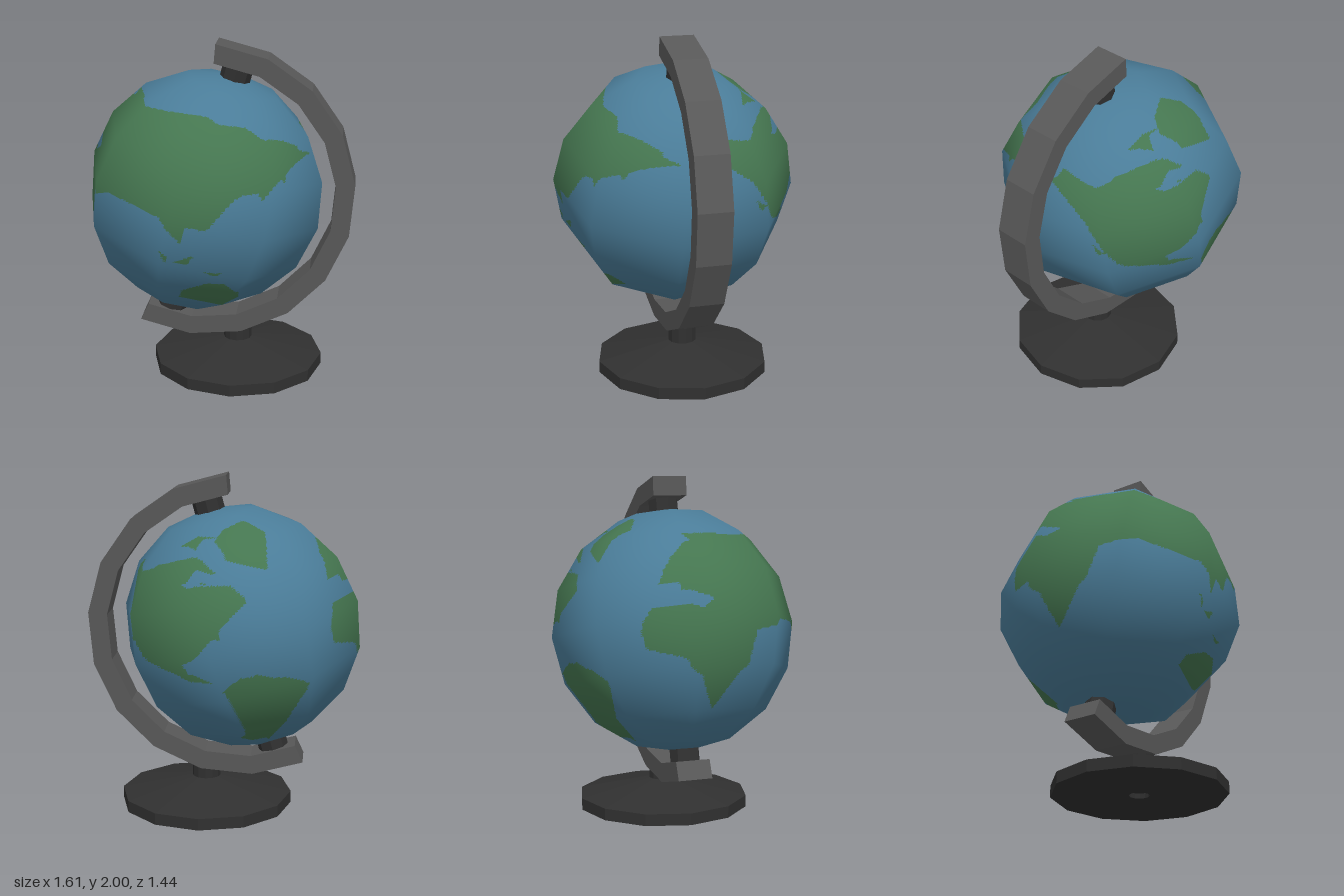
import * as THREE from 'three';

const RAD = Math.PI / 180;
const CENTRE = [-0.085, 1.105, 0];
const R = 0.72;
const SWING = 12.5 * RAD; // turn of the whole stand about the vertical
const TILT = 15 * RAD; // lean of the globe axis

const mat = (name, color) => {
  const m = new THREE.MeshStandardMaterial({ color });
  m.name = name;
  return m;
};

const add = (parent, name, geometry, material) => {
  const mesh = new THREE.Mesh(geometry, material);
  mesh.name = name;
  parent.add(mesh);
  return mesh;
};

// Gives every side its own flat normal
const faceted = (geometry) => {
  const g = geometry.toNonIndexed();
  g.computeVertexNormals();
  return g;
};

// Coastlines drawn flat along one direction: x, y pairs in hundredths from the globe centre
const coasts = [];
function drawCoasts(azimuth, elevation, minFacing, ...outlines) {
  const a = azimuth * RAD, e = elevation * RAD;
  coasts.push({
    toward: new THREE.Vector3(Math.sin(a) * Math.cos(e), Math.sin(e), Math.cos(a) * Math.cos(e)),
    right: new THREE.Vector3(Math.cos(a), 0, -Math.sin(a)),
    up: new THREE.Vector3(-Math.sin(e) * Math.sin(a), Math.cos(e), -Math.sin(e) * Math.cos(a)),
    minFacing,
    outlines,
  });
}

// Great eastern continent and the southern islands
drawCoasts(0, 0, 0.12,
  [-31, 58, 1, 56, 36, 49, 64, 31, 50, 12, 46, 20, 36, 13, 23, -3, 12, -1, 9, -11, -2, 4, -17, 7, -38, 11,
    -53, 7, -58, -16, -58, -36, -80, 10, -58, 27, -60, 45],
  [1, -51, 4, -45, 19, -39, 28, -39, 34, -47, 31, -54, 22, -57],
  [4, -23, 15, -19, 11, -25],
  [-3, -15, 1, -19, 0, -23],
  [19, -30, 28, -31, 25, -33]);
// Far eastern tip
drawCoasts(90, 0, 0.12,
  [-51, 49, -41, 50, -37, 42, 2, 28, -25, 24, -30, 18, -34, 23, -44, 17, -59, 14, -64, -3, -75, 20]);
// Arctic coasts and islands
drawCoasts(0, 90, 0.5,
  [-29, 46, -6, 49, 3, 41, 1, 33, -10, 24, -22, 27],
  [-18, 58, -2, 69, 5, 60],
  [-3, 55, 19, 58, 43, 43, 28, 48],
  [2, 38, 10, 40, 12, 47, 18, 42, 24, 39],
  [-59, 19, -47, 4, -34, -15, -23, -39, 22, -41, 48, -32, 60, -6, 58, -28, 40, -57, 0, -69, -45, -54, -70, 0]);
// Western continents, far side
drawCoasts(145, -25, 0.2,
  [-39, 49, -32, 56, 1, 61, 27, 51, 42, 39, 46, 27, 37, 33, 22, 23, 27, 11, 43, 5, 27, 6, -2, 20, -19, 41],
  [48, 2, 56, 1, 68, -17, 52, -38, 34, -53, 48, -30, 47, -6]);
// Both shores of the western ocean
drawCoasts(215, 25, 0.12,
  [-66, 16, -55, 31, -39, 29, -50, 20, -47, 12, -23, 9, -16, -1, -33, -15, -44, -27, -50, -28, -69, -7],
  [-30, -46, -20, -40, 5, -42, 19, -46, 11, -62, 2, -71, -11, -69],
  [35, -16, 38, -2, 59, 7, 73, -20, 65, -35, 56, -22, 38, -24],
  [32, 44, 35, 53, 49, 51, 62, 39, 69, 18, 49, 12, 41, 20, 52, 34],
  [35, 28, 38, 32, 40, 25]);

function inside(o, x, y) {
  let hit = false;
  for (let i = 0, j = o.length - 2; i < o.length; j = i, i += 2) {
    if (o[i + 1] > y !== o[j + 1] > y &&
      x < ((o[j] - o[i]) * (y - o[i + 1])) / (o[j + 1] - o[i + 1]) + o[i]) hit = !hit;
  }
  return hit;
}

const isLand = (p) => coasts.some((c) => {
  if (p.dot(c.toward) < c.minFacing * p.length()) return false;
  const x = p.dot(c.right) * 100, y = p.dot(c.up) * 100;
  return c.outlines.some((o) => inside(o, x, y));
});

// Eight by eight flat facets, each finely divided and sorted into sea and land
function globeGeometries() {
  const turn = new THREE.Matrix4().makeRotationY(SWING)
    .multiply(new THREE.Matrix4().makeRotationZ(-TILT))
    .multiply(new THREE.Matrix4().makeRotationY(-9.7 * RAD));
  const corner = (row, col) => {
    const lat = (row * 22.5 - 90) * RAD, lon = col * 45 * RAD;
    return new THREE.Vector3(Math.cos(lat) * Math.sin(lon), Math.sin(lat), Math.cos(lat) * Math.cos(lon))
      .multiplyScalar(R).applyMatrix4(turn);
  };
  const N = 28;
  const sets = { sea: { pos: [], nor: [] }, land: { pos: [], nor: [] } };
  const triangle = (...pts) => {
    const mid = new THREE.Vector3();
    pts.forEach((p) => mid.addScaledVector(p, 1 / 3));
    const set = isLand(mid) ? sets.land : sets.sea;
    for (const p of pts) {
      const n = p.clone().normalize();
      set.pos.push(p.x, p.y, p.z);
      set.nor.push(n.x, n.y, n.z);
    }
  };
  for (let row = 0; row < 8; row++) for (let col = 0; col < 8; col++) {
    const a = corner(row, col), b = corner(row, col + 1);
    const d = corner(row + 1, col), c = corner(row + 1, col + 1);
    const at = (i, j) => a.clone().lerp(b, i / N).lerp(d.clone().lerp(c, i / N), j / N);
    for (let i = 0; i < N; i++) for (let j = 0; j < N; j++) {
      const p = at(i, j), q = at(i + 1, j), r = at(i + 1, j + 1), s = at(i, j + 1);
      triangle(p, q, r);
      triangle(p, r, s);
    }
  }
  const build = ({ pos, nor }) => {
    const g = new THREE.BufferGeometry();
    g.setAttribute('position', new THREE.Float32BufferAttribute(pos, 3));
    g.setAttribute('normal', new THREE.Float32BufferAttribute(nor, 3));
    return g;
  };
  return { sea: build(sets.sea), land: build(sets.land) };
}

export function createModel() {
  const model = new THREE.Group();
  model.name = 'deskGlobe';
  const sea = mat('seaBlue', 0x4a7c98), land = mat('landGreen', 0x457650);
  const metal = mat('armGrey', 0x585858), dark = mat('baseBlack', 0x303030);

  const globe = new THREE.Group();
  globe.name = 'globe';
  globe.position.set(...CENTRE);
  const parts = globeGeometries();
  add(globe, 'sea', parts.sea, sea);
  add(globe, 'land', parts.land, land);
  model.add(globe);

  const stand = new THREE.Group();
  stand.name = 'stand';
  stand.position.set(...CENTRE);
  stand.rotation.y = SWING;
  model.add(stand);

  // Curved arm: ten straight segments from pole to pole
  const rim = (r) => Array.from({ length: 11 }, (_, i) => {
    const t = (-115 + i * 20) * RAD;
    return new THREE.Vector2(r * Math.cos(t), r * Math.sin(t));
  });
  const armShape = new THREE.Shape([...rim(0.9), ...rim(0.787).reverse()]);
  const width = 0.205;
  const arm = new THREE.ExtrudeGeometry(armShape, { depth: width, bevelEnabled: false });
  add(stand, 'arm', arm.translate(0, 0, -width / 2), metal);

  // Pivot pins at both poles
  for (const side of [1, -1]) {
    const pin = add(stand, side > 0 ? 'topPin' : 'bottomPin',
      faceted(new THREE.CylinderGeometry(0.09, 0.09, 0.12, 8)), dark);
    pin.rotation.z = -TILT;
    pin.position.set(Math.sin(TILT) * 0.74 * side, Math.cos(TILT) * 0.74 * side, 0);
  }

  // Twelve-sided foot with sloping top, neck and a small recess below
  const profile = [[0, 0.03], [0.06, 0.03], [0.06, 0], [0.515, 0], [0.515, 0.07], [0.085, 0.165], [0.085, 0.26], [0, 0.26]]
    .map(([x, y]) => new THREE.Vector2(x, y));
  const foot = add(stand, 'foot', faceted(new THREE.LatheGeometry(profile, 12)), dark);
  foot.position.set(0.206, -CENTRE[1], 0);

  return model;
}
